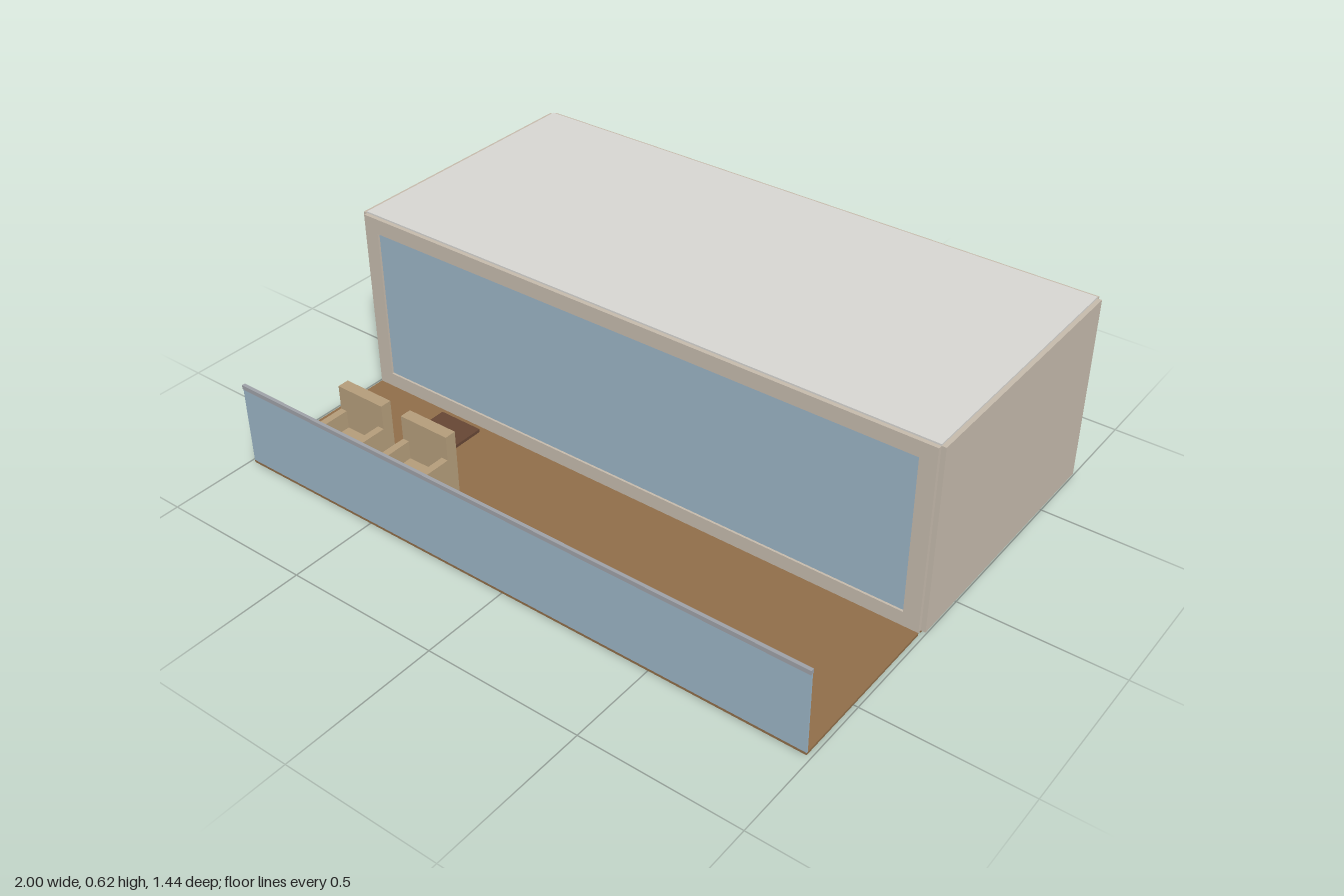
import * as THREE from 'three';

const mat = (color) => new THREE.MeshStandardMaterial({ color });

export function createModel() {
  const model = new THREE.Group();
  const plaster = mat(0xc4b9ab), roofing = mat(0xd6d5d1), glass = mat(0x9ab3c4), wood = mat(0x8f6d49),
    doorWood = mat(0x9a7a50), fabric = mat(0xb39c7a), metal = mat(0x9da0a6), darkWood = mat(0x664634);

  // Box given by its min and max on each axis
  function box(parent, name, material, [x0, x1], [y0, y1], [z0, z1]) {
    const mesh = new THREE.Mesh(new THREE.BoxGeometry(x1 - x0, y1 - y0, z1 - z0), material);
    mesh.position.set((x0 + x1) / 2, (y0 + y1) / 2, (z0 + z1) / 2);
    mesh.name = name;
    parent.add(mesh);
    return mesh;
  }

  // Upright wall with one rectangular opening
  function wallWithOpening(name, [x0, x1], [y0, y1], [z0, z1]) {
    const shape = new THREE.Shape();
    shape.moveTo(-W, 0.008).lineTo(W, 0.008).lineTo(W, 0.61).lineTo(-W, 0.61).closePath();
    const hole = new THREE.Path();
    hole.moveTo(x0, y0).lineTo(x0, y1).lineTo(x1, y1).lineTo(x1, y0).closePath();
    shape.holes.push(hole);
    const mesh = new THREE.Mesh(
      new THREE.ExtrudeGeometry(shape, { depth: z1 - z0, bevelEnabled: false }), plaster);
    mesh.position.z = z0;
    mesh.name = name;
    model.add(mesh);
  }

  const W = 0.986, back = -0.705, front = 0.166, t = 0.013;

  // Room shell
  box(model, 'roomFloor', wood, [-W, W], [0, 0.012], [back, front]);
  box(model, 'roof', roofing, [-W, W], [0.603, 0.615], [back, front]);
  for (const s of [-1, 1])
    box(model, s > 0 ? 'leftWall' : 'rightWall', plaster,
      s > 0 ? [W - t, 1] : [-1, t - W], [0.008, 0.61], [back, front]);
  const win = [[-0.935, 0.935], [0.055, 0.56]];
  wallWithOpening('frontWall', ...win, [front - t, front + t]);
  box(model, 'window', glass, ...win, [front - 0.006, front + 0.006]);
  const door = [[0.32, 0.53], [0.013, 0.515]];
  wallWithOpening('backWall', ...door, [back - t, back + t]);
  box(model, 'door', doorWood, ...door, [back - 0.007, back + 0.007]);

  // Terrace with glass railing
  box(model, 'terraceDeck', wood, [-W, W], [0, 0.008], [front + t, 0.715]);
  box(model, 'railingGlass', glass, [-W, W], [0.008, 0.268], [0.71, 0.715]);
  box(model, 'handrail', metal, [-W, W], [0.266, 0.28], [0.707, 0.718]);

  // Armchairs facing the railing
  for (const x of [-0.717, -0.462]) {
    const chair = new THREE.Group();
    chair.name = 'armchair';
    chair.position.set(x, 0, 0.5625);
    box(chair, 'seat', fabric, [-0.065, 0.065], [0.025, 0.1], [-0.05, 0.08]);
    box(chair, 'backrest', fabric, [-0.088, 0.088], [0.025, 0.24], [-0.0875, -0.05]);
    for (const s of [-1, 1]) {
      box(chair, 'armrest', fabric, s > 0 ? [0.065, 0.088] : [-0.088, -0.065], [0.025, 0.16], [-0.05, 0.0875]);
      for (const z of [-0.073, 0.073])
        box(chair, 'leg', metal, [s * 0.073 - 0.008, s * 0.073 + 0.008], [0.008, 0.026], [z - 0.008, z + 0.008]);
    }
    model.add(chair);
  }

  // Side table on a round pedestal
  const table = new THREE.Group();
  table.name = 'table';
  box(table, 'tableTop', darkWood, [-0.605, -0.455], [0.1, 0.11], [0.293, 0.447]);
  const pedestal = new THREE.Mesh(new THREE.CylinderGeometry(0.02, 0.02, 0.094, 24), metal);
  pedestal.position.set(-0.53, 0.054, 0.37);
  pedestal.name = 'tablePedestal';
  table.add(pedestal);
  model.add(table);

  return model;
}
